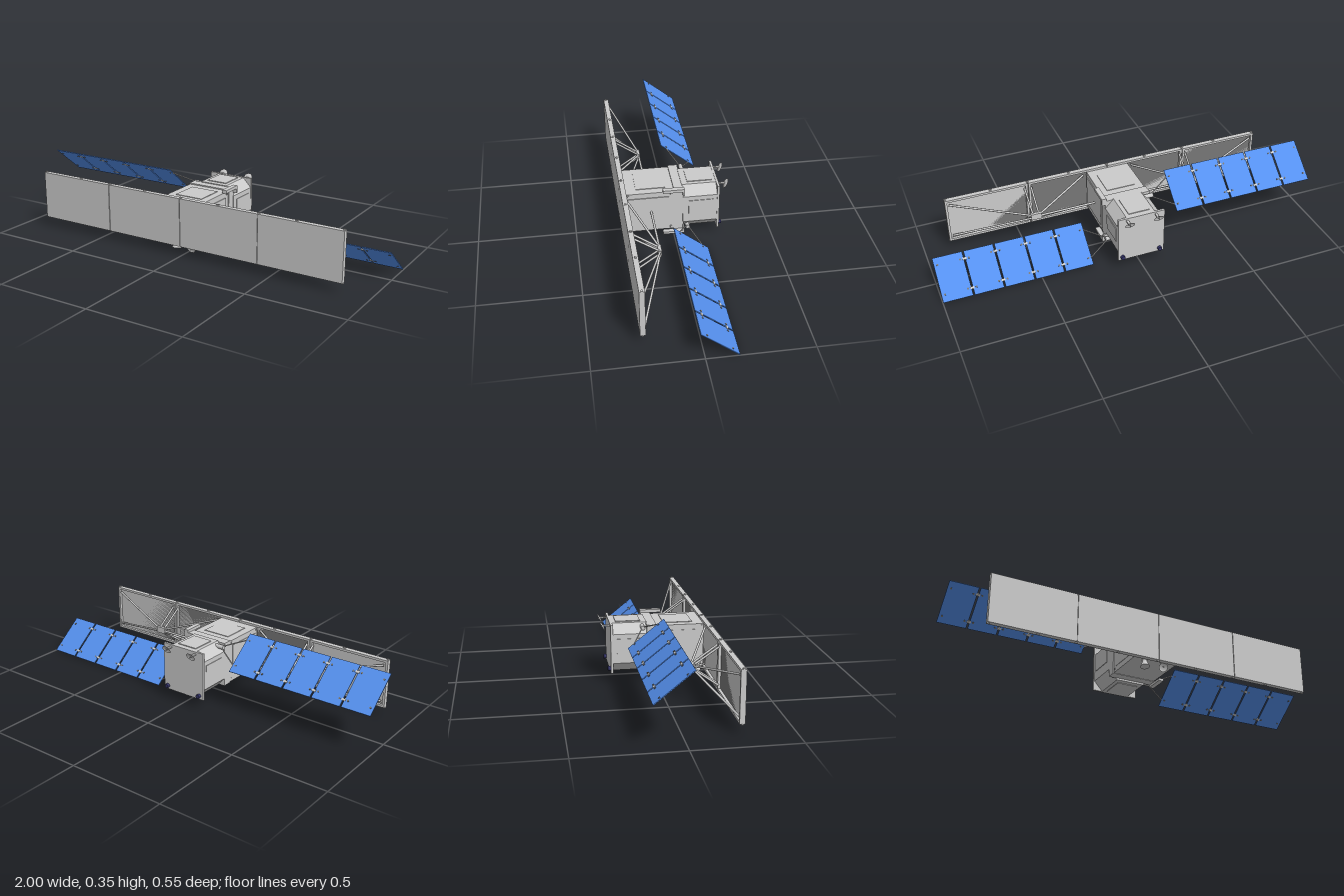
import * as THREE from 'three';

const grey = new THREE.MeshStandardMaterial({ color: 0xcccccc });
const dark = new THREE.MeshStandardMaterial({ color: 0x777777 });
const blue = new THREE.MeshStandardMaterial({ color: 0x5590ee });
const navy = new THREE.MeshStandardMaterial({ color: 0x333366 });
const thin = new THREE.MeshStandardMaterial({ color: 0xcccccc, side: THREE.DoubleSide });
const V = (x, y, z) => new THREE.Vector3(x, y, z);

function add(parent, name, geometry, material = grey) {
  const mesh = new THREE.Mesh(geometry, material);
  mesh.name = name;
  parent.add(mesh);
  return mesh;
}

// Box given by its lower and upper limits on each axis
function box(parent, name, [x0, x1], [y0, y1], [z0, z1], material) {
  const mesh = add(parent, name, new THREE.BoxGeometry(x1 - x0, y1 - y0, z1 - z0), material);
  mesh.position.set((x0 + x1) / 2, (y0 + y1) / 2, (z0 + z1) / 2);
  return mesh;
}

// Round bar between two points, optionally tapering
function rod(parent, name, a, b, r, material = grey, r2 = r, sides = 10) {
  const mesh = add(parent, name, new THREE.CylinderGeometry(r2, r, a.distanceTo(b), sides), material);
  mesh.position.copy(a).lerp(b, 0.5);
  mesh.quaternion.setFromUnitVectors(V(0, 1, 0), b.clone().sub(a).normalize());
  return mesh;
}

// Shallow dish with a feed, opening along dir
function dish(parent, name, at, dir, r) {
  const g = new THREE.Group();
  g.name = name;
  const profile = [[0, 0], [0.5, 0.06], [0.8, 0.16], [1, 0.27]].map(([a, b]) => new THREE.Vector2(a * r, b * r));
  add(g, 'dishBowl', new THREE.LatheGeometry(profile, 24), thin);
  rod(g, 'dishFeed', V(0, 0, 0), V(0, r * 0.5, 0), r * 0.08);
  g.position.copy(at);
  g.quaternion.setFromUnitVectors(V(0, 1, 0), dir.normalize());
  parent.add(g);
}

function buildBody(root) {
  const body = new THREE.Group();
  body.name = 'body';
  root.add(body);
  box(body, 'frontBody', [-0.116, 0.114], [0.062, 0.288], [0, 0.245]);
  box(body, 'collar', [-0.12, 0.118], [0.06, 0.294], [-0.045, 0.004]);

  // Rear body with chamfered long edges
  const s = new THREE.Shape([[-0.075, 0.05], [0.075, 0.05], [0.12, 0.1], [0.12, 0.251],
    [0.075, 0.298], [-0.075, 0.298], [-0.12, 0.251], [-0.12, 0.1]].map(p => new THREE.Vector2(...p)));
  add(body, 'rearBody', new THREE.ExtrudeGeometry(s, { depth: 0.175, bevelEnabled: false })).position.z = -0.215;
  box(body, 'rearPlate', [-0.125, 0.122], [0.05, 0.3], [-0.227, -0.215]);

  // Raised covers on the sides, top and bottom
  for (const m of [-1, 1]) {
    const side = (name, x, y, z, t) => box(body, name, m > 0 ? [x - 0.002, x + t] : [-x - t, 0.002 - x], y, z);
    side('frontSideCover', 0.115, [0.09, 0.26], [0.03, 0.237], 0.003);
    side('rearSideCover', 0.12, [0.15, 0.227], [-0.195, -0.07], 0.003);
    for (const y of [0.077, 0.278]) for (const z of [0.02, 0.235])
      side('liftingPoint', 0.115, [y - 0.004, y + 0.004], [z - 0.004, z + 0.004], 0.004);
  }
  box(body, 'frontTopCover', [-0.075, 0.075], [0.286, 0.291], [0.045, 0.193]);
  box(body, 'rearTopCover', [-0.055, 0.055], [0.296, 0.302], [-0.195, -0.07]);
  box(body, 'rearBottomCover', [-0.055, 0.055], [0.047, 0.052], [-0.195, -0.07]);

  // Hooked brackets beside the collar
  box(body, 'topBracket', [0.113, 0.138], [0.293, 0.309], [-0.046, 0.062]);
  box(body, 'topBracketLeg', [0.113, 0.138], [0.27, 0.295], [-0.046, -0.038]);
  box(body, 'bottomBracket', [0.113, 0.138], [0.045, 0.058], [-0.046, 0.062]);
  box(body, 'bottomBracketLeg', [0.113, 0.138], [0.056, 0.085], [-0.046, -0.038]);

  // Rear dishes and thrusters
  for (const x of [-0.077, 0.075]) {
    box(body, 'rearDishArm', [x - 0.006, x + 0.006], [0.285, 0.291], [-0.262, -0.22]);
    dish(body, 'rearDish', V(x, 0.288, -0.258), V(0, -0.45, -0.85), 0.025);
  }
  for (const x of [-0.1, 0.1])
    rod(body, 'thruster', V(x, 0.069, -0.225), V(x, 0.069, -0.241), 0.011, navy, 0.011, 20);

  // Antennas under the nose
  rod(body, 'hornMount', V(-0.055, 0.065, 0.215), V(-0.055, 0.045, 0.218), 0.012);
  rod(body, 'horn', V(-0.055, 0.05, 0.217), V(-0.055, 0.022, 0.222), 0.012, grey, 0.024, 20);
  rod(body, 'noseDishMount', V(0.04, 0.065, 0.215), V(0.04, 0.038, 0.228), 0.006);
  dish(body, 'noseDish', V(0.04, 0.037, 0.23), V(0, -0.45, 0.85), 0.024);
}

function buildRadar(root) {
  const radar = new THREE.Group();
  radar.name = 'radarAntenna';
  root.add(radar);
  const joints = [-0.875, -0.439, -0.003, 0.433, 0.87];
  for (let i = 0; i < 4; i++) {
    const x0 = joints[i] + 0.002, x1 = joints[i + 1] - 0.002;
    box(radar, 'radarPanel', [x0, x1], [0.05, 0.3], [0.258, 0.27]);
    // Rim behind each panel
    for (const y of [0.05, 0.288]) box(radar, 'panelRail', [x0, x1], [y, y + 0.012], [0.244, 0.259]);
    for (const x of [x0, x1 - 0.012]) box(radar, 'panelRib', [x, x + 0.012], [0.05, 0.3], [0.244, 0.259]);
  }
  box(radar, 'panelJoint', [-0.87, 0.865], [0.055, 0.295], [0.258, 0.266], dark);
  for (const x of [-0.868, -0.63, -0.439, -0.22, -0.003, 0.21, 0.433, 0.63, 0.863])
    for (const y of [0.048, 0.302]) box(radar, 'panelHinge', [x - 0.006, x + 0.006], [y - 0.003, y + 0.003], [0.253, 0.262]);

  // Support truss on each side
  for (const m of [-1, 1]) {
    const apex = V(m * 0.437 - 0.002, 0.176, 0.12);
    box(radar, 'trussNode', [apex.x - 0.027, apex.x + 0.027], [0.16, 0.193], [0.114, 0.132]);
    rod(radar, 'trussBeam', apex, V(m * 0.11, 0.176, 0.12), 0.006);
    for (const y of [0.08, 0.272]) {
      const a = y < 0.17 ? 0.168 : 0.184;
      for (const [x, dx] of [[0.135, -0.02], [0.42, -0.015], [0.455, 0.015], [0.85, 0.02]])
        rod(radar, 'trussStrut', V(apex.x + m * dx, a, 0.122), V(m * x - 0.002, y, 0.247), 0.0055);
    }
  }
}

// Solar wing built along +x about its hinge axis; m chooses the side
function buildWing(root, m, y) {
  const wing = new THREE.Group();
  wing.name = m > 0 ? 'leftSolarWing' : 'rightSolarWing';
  wing.position.set(0, y, -0.065);
  wing.rotation.x = -Math.atan2(0.143, 0.178);
  root.add(wing);
  const span = (a, b) => m > 0 ? [a, b] : [-b, -a];
  for (let i = 0; i < 5; i++) {
    const x = 0.228 + i * 0.1556;
    box(wing, 'solarPanel', span(x, x + 0.1476), [-0.002, 0.002], [-0.113, 0.113], blue);
    for (const z of [-0.075, 0.075]) {
      for (const dx of [0.018, 0.13])
        rod(wing, 'panelStud', V(m * (x + dx), -0.004, z), V(m * (x + dx), 0.004, z), 0.005, dark);
      if (i) box(wing, 'wingHinge', span(x - 0.014, x + 0.006), [-0.004, 0.004], [z - 0.006, z + 0.006]);
    }
  }
  // Yoke and drive shaft
  for (const z of [-1, 1])
    rod(wing, 'yokeArm', V(m * 0.125, 0, z * 0.008), V(m * 0.23, 0, z * 0.075), 0.003);
  rod(wing, 'driveShaft', V(m * 0.08, 0, 0), V(m * 0.13, 0, 0), 0.011, grey, 0.011, 16);
}

export function createModel() {
  const root = new THREE.Group();
  root.name = 'radarSatellite';
  buildBody(root);
  buildRadar(root);
  buildWing(root, 1, 0.073);
  buildWing(root, -1, 0.281);
  return root;
}
